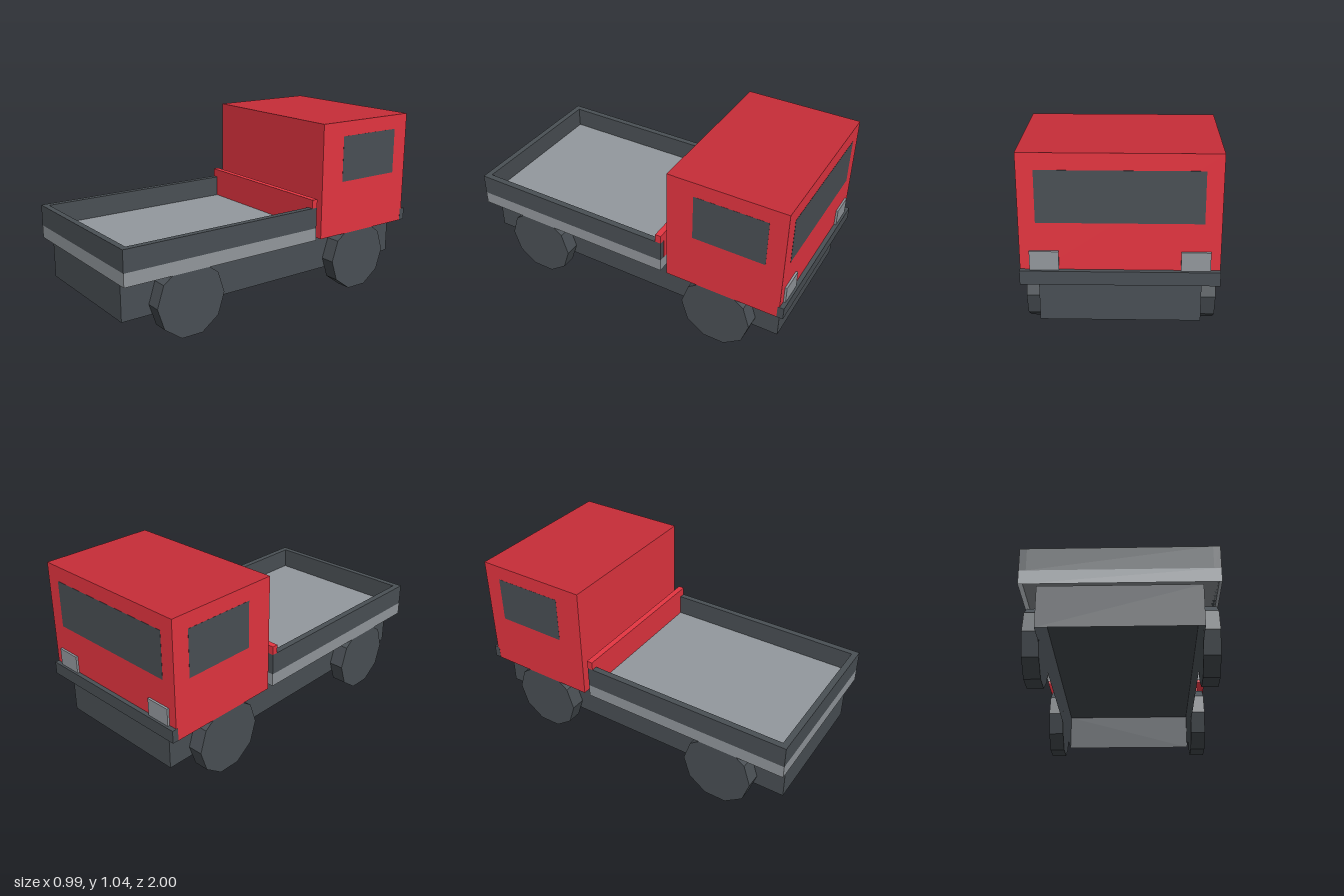
import * as THREE from 'three';

export function createModel() {
  const truck = new THREE.Group();
  truck.name = 'flatbedTruck';

  // Double sided because the bodies are open underneath
  const material = (name, color) => {
    const m = new THREE.MeshStandardMaterial({ color, side: THREE.DoubleSide });
    m.name = name;
    return m;
  };
  const red = material('red paint', 0xe63541);
  const roofRed = material('roof red', 0xc72d38);
  const dark = material('dark grey', 0x4a5055);
  const grey = material('light grey', 0x94999e);

  // Box given by its lower and upper limits on each axis
  const box = (name, mat, [x0, x1], [y0, y1], [z0, z1]) => {
    const mesh = new THREE.Mesh(new THREE.BoxGeometry(x1 - x0, y1 - y0, z1 - z0), mat);
    mesh.position.set((x0 + x1) / 2, (y0 + y1) / 2, (z0 + z1) / 2);
    mesh.name = name;
    truck.add(mesh);
    return mesh;
  };
  // Box without a bottom, with its own material for the top
  const shell = (name, wall, top, x, y, z) => {
    const { geometry } = box(name, [wall, top], x, y, z);
    const index = [...geometry.index.array];
    geometry.setIndex([...index.slice(0, 12), ...index.slice(24, 36), ...index.slice(12, 18)]);
    geometry.clearGroups();
    geometry.addGroup(0, 24, 0);
    geometry.addGroup(24, 6, 1);
  };
  // Span on the left (+1) or right (-1) side
  const span = (side, a, b) => (side > 0 ? [a, b] : [-b, -a]);

  const W = 0.4935; // half width
  const inner = 0.4575; // half width inside the bed rails
  const full = [-W, W];

  // Chassis and cab
  shell('chassis', dark, dark, [-0.406, 0.406], [0.139, 0.361], [-0.95, 0.976]);
  shell('cab', red, roofRed, full, [0.361, 1.039], [-0.975, -0.296]);
  box('bumper', dark, [-W - 0.0007, W + 0.0007], [0.362, 0.435], [-1, -0.964]);
  box('windshield', dark, [-0.41, 0.41], [0.683, 0.953], [-0.976, -0.974]);

  // Load bed with rails, tailgate and headboard
  shell('bed', grey, grey, full, [0.361, 0.436], [-0.258, 1]);
  box('tailgate', dark, [-inner, inner], [0.436, 0.559], [0.965, 1]);
  box('headboard', red, [-inner, inner], [0.436, 0.559], [-0.26, -0.225]);
  box('headboardTop', red, full, [0.559, 0.609], [-0.26, -0.225]);

  // Ten-sided wheel with a flat facet on the ground
  const radius = 0.209;
  const wheelGeometry = new THREE.CylinderGeometry(radius, radius, 0.0875, 10).toNonIndexed();
  wheelGeometry.rotateZ(Math.PI / 2);
  wheelGeometry.computeVertexNormals();

  for (const side of [1, -1]) {
    const label = side > 0 ? 'left' : 'right';
    box(label + 'BedRail', dark, span(side, inner, W), [0.436, 0.559], [-0.258, 1]);
    box(label + 'CabWindow', dark, span(side, W - 0.001, W + 0.0007), [0.683, 0.953], [-0.875, -0.453]);
    box(label + 'Headlight', grey, span(side, 0.3, 0.445), [0.435, 0.535], [-0.987, -0.974]);
    for (const z of [-0.605, 0.605]) {
      const wheel = new THREE.Mesh(wheelGeometry, dark);
      wheel.position.set(side * 0.4497, radius * Math.cos(Math.PI / 10), z);
      wheel.name = label + (z < 0 ? 'CabWheel' : 'BedWheel');
      truck.add(wheel);
    }
  }
  return truck;
}
